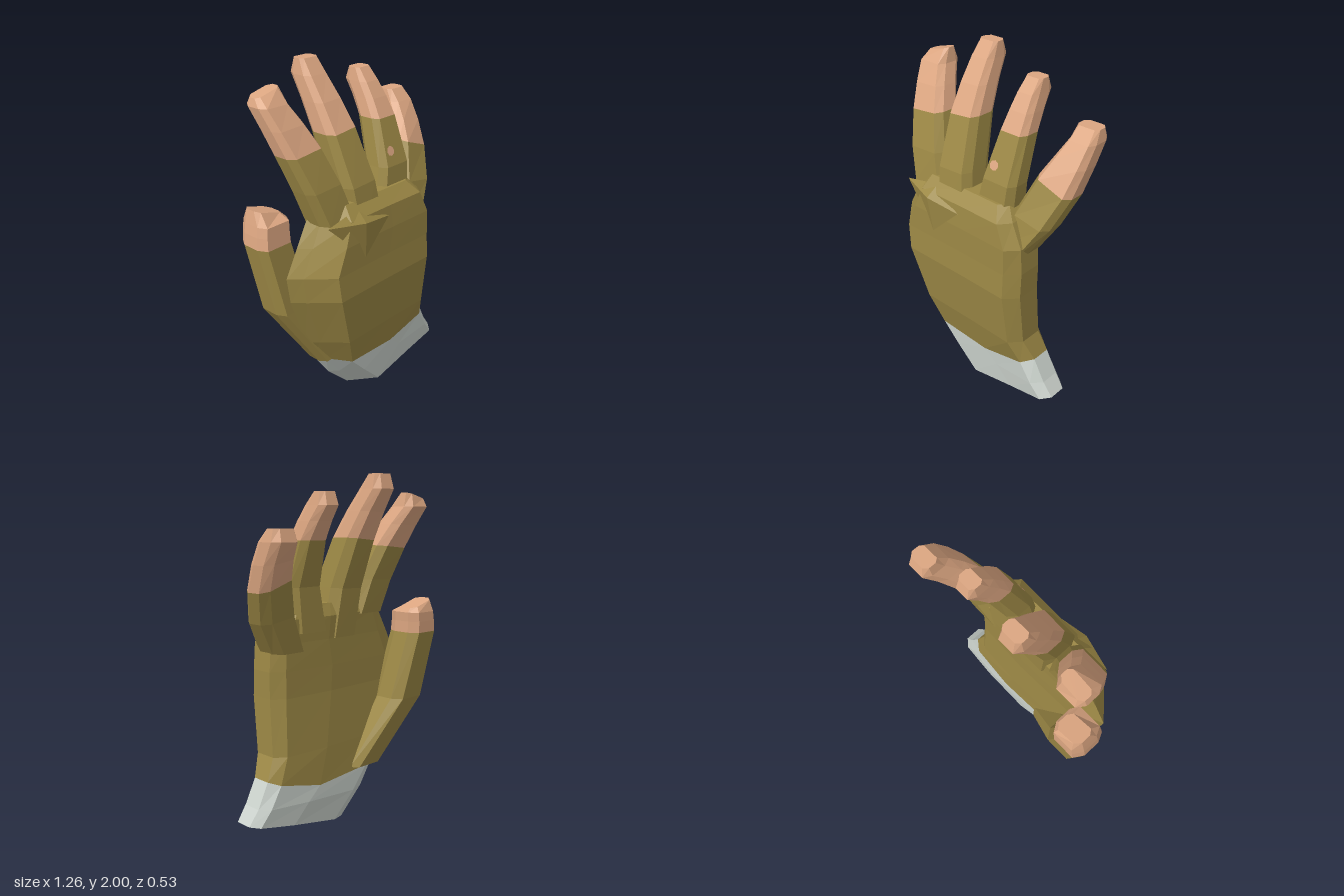
import * as THREE from 'three';
import { ConvexGeometry } from 'three/addons/geometries/ConvexGeometry.js';

// Unit cross-sections: u runs from -x to +x, v from back to front.
const half = [[0.17, 0], [0, 0.27], [0, 0.75], [0.13, 1]];
const FINGER = [...half, ...half.map(([u, v]) => [1 - u, v]).reverse()];
const PALM = [[0, 0.27], [0.06, 0.5], [0.19, 0.98], [0.6, 0.98], [0.93, 1], [1, 0.75], [1, 0.25], [0.93, 0.05], [0.6, 0], [0.14, 0.05]];

// Loft through rings of [y, xMin, xMax, zBack, zFront, tilt, bow].
function loft(section, rings, capBottom, capTop) {
  const n = section.length, pos = [], idx = [];
  for (const [y, x0, x1, z0, z1, tilt = 0, bow = 0] of rings) {
    for (const [u, v] of section) {
      const dx = (u - 0.5) * (x1 - x0);
      pos.push(x0 + u * (x1 - x0), y + tilt * dx + bow * dx * dx, z0 + v * (z1 - z0));
    }
  }
  for (let r = 0; r < rings.length - 1; r++) {
    for (let i = 0; i < n; i++) {
      const a = r * n + i, b = r * n + (i + 1) % n;
      idx.push(a, b, b + n, a, b + n, a + n);
    }
  }
  const top = (rings.length - 1) * n;
  for (let i = 1; i < n - 1; i++) {
    if (capBottom) idx.push(0, i + 1, i);
    if (capTop) idx.push(top, top + i, top + i + 1);
  }
  const indexed = new THREE.BufferGeometry();
  indexed.setAttribute('position', new THREE.Float32BufferAttribute(pos, 3));
  indexed.setIndex(idx);
  const g = indexed.toNonIndexed();
  g.computeVertexNormals();
  return g;
}

// Ring at height y on the quadratic curve through three rings
function ringAt(y, a, b, c) {
  return a.map((start, k) => {
    const s1 = (b[k] - start) / (b[0] - a[0]);
    const s2 = (c[k] - b[k]) / (c[0] - b[0]);
    return start + s1 * (y - a[0]) + (s2 - s1) / (c[0] - a[0]) * (y - a[0]) * (y - b[0]);
  });
}

export function createModel() {
  const model = new THREE.Group();
  const material = (name, color) => {
    const m = new THREE.MeshStandardMaterial({ color, flatShading: true });
    m.name = name;
    return m;
  };
  const glove = material('olive glove', 0x9c8845);
  const skin = material('skin', 0xdca681);
  const cloth = material('pale cuff', 0xcad1cb);

  const add = (parent, name, geometry, mat) => {
    const mesh = new THREE.Mesh(geometry, mat);
    mesh.name = name;
    parent.add(mesh);
    return mesh;
  };

  // Hollow cuff: lining, rim, outside; it shares the wrist ring with the palm
  const wrist = [0.265, -0.34, 0.5, -0.055, 0.17, 0.03, 0.45];
  add(model, 'cuff', loft(PALM, [
    [0.27, -0.28, 0.47, -0.045, 0.155, 0, 0.3],
    [0.07, -0.06, 0.63, -0.05, 0.155, 0.2],
    [0.19, -0.22, 0.57, -0.06, 0.165, 0.08],
    wrist,
  ], true, false), cloth);
  add(model, 'palm', loft(PALM, [
    wrist,
    [0.48, -0.42, 0.445, -0.045, 0.22],
    [0.8, -0.54, 0.44, -0.025, 0.258],
    [0.95, -0.56, 0.44, -0.025, 0.25],
    [1.1, -0.48, 0.43, -0.025, 0.248],
    [1.23, -0.4, 0.36, -0.03, 0.235],
    [1.3, -0.36, 0.3, 0, 0.17],
  ], false, true), glove);

  // Raised fold over the knuckles
  add(model, 'knuckleFold', new ConvexGeometry([
    new THREE.Vector3(-0.4, 1.23, 0.2),
    new THREE.Vector3(-0.17, 1.27, 0.19),
    new THREE.Vector3(0.03, 1.18, 0.24),
    new THREE.Vector3(-0.18, 1.21, 0.265),
    new THREE.Vector3(-0.16, 1, 0.245),
  ]), glove);

  // A finger curves through root, glove border and shoulder, then narrows to a blunt tip
  const addFinger = (name, tipY, tipTilt, tilt, root, border, shoulder) => {
    const finger = new THREE.Group();
    finger.name = name;
    const between = (from, to, t, lean) => [
      ...ringAt(THREE.MathUtils.lerp(from[0], to[0], t), root, border, shoulder), lean];
    const edge = [...border, tilt];
    const [, x0, x1, z0, z1] = shoulder;
    const inset = (x1 - x0) * 0.08;
    const tip = [tipY, x0 + inset, x1 - inset, z0 + 0.02, z1 - 0.06, tipTilt];
    add(finger, name + 'Sleeve', loft(FINGER, [
      root, between(root, border, 0.5, tilt / 2), edge,
    ], true, false), glove);
    add(finger, name + 'Tip', loft(FINGER, [
      edge, between(border, shoulder, 0.55, tilt / 2), shoulder, tip,
    ], false, true), skin);
    model.add(finger);
  };
  addFinger('indexFinger', 1.89, 0.25, 0.1,
    [1.22, -0.39, -0.15, -0.03, 0.18], [1.6, -0.505, -0.28, -0.11, 0.07], [1.83, -0.56, -0.38, -0.22, -0.06]);
  addFinger('middleFinger', 2, 0, 0.1,
    [1.1, -0.17, 0.06, -0.03, 0.21], [1.65, -0.215, -0.02, -0.13, 0.06], [1.92, -0.21, -0.065, -0.27, -0.11]);
  addFinger('ringFinger', 1.9, 0, 0,
    [1.15, 0.05, 0.31, -0.03, 0.17], [1.65, 0.14, 0.31, -0.11, 0.05], [1.83, 0.16, 0.285, -0.22, -0.06]);
  addFinger('littleFinger', 1.715, 0, -0.35,
    [1.05, 0.22, 0.43, -0.025, 0.18], [1.43, 0.39, 0.6, -0.13, 0.05], [1.65, 0.47, 0.625, -0.26, -0.09]);
  addFinger('thumb', 1.27, -0.3, 0,
    [0.31, -0.33, -0.09, -0.08, 0.08], [1.1, -0.633, -0.42, -0.245, -0.03], [1.22, -0.615, -0.415, -0.245, -0.045]);

  // Small hole in the glove showing skin
  const hole = add(model, 'gloveHole', new THREE.CircleGeometry(0.028, 8), skin);
  hole.position.set(0.18, 1.48, 0.117);
  hole.rotation.x = -0.36;

  return model;
}
